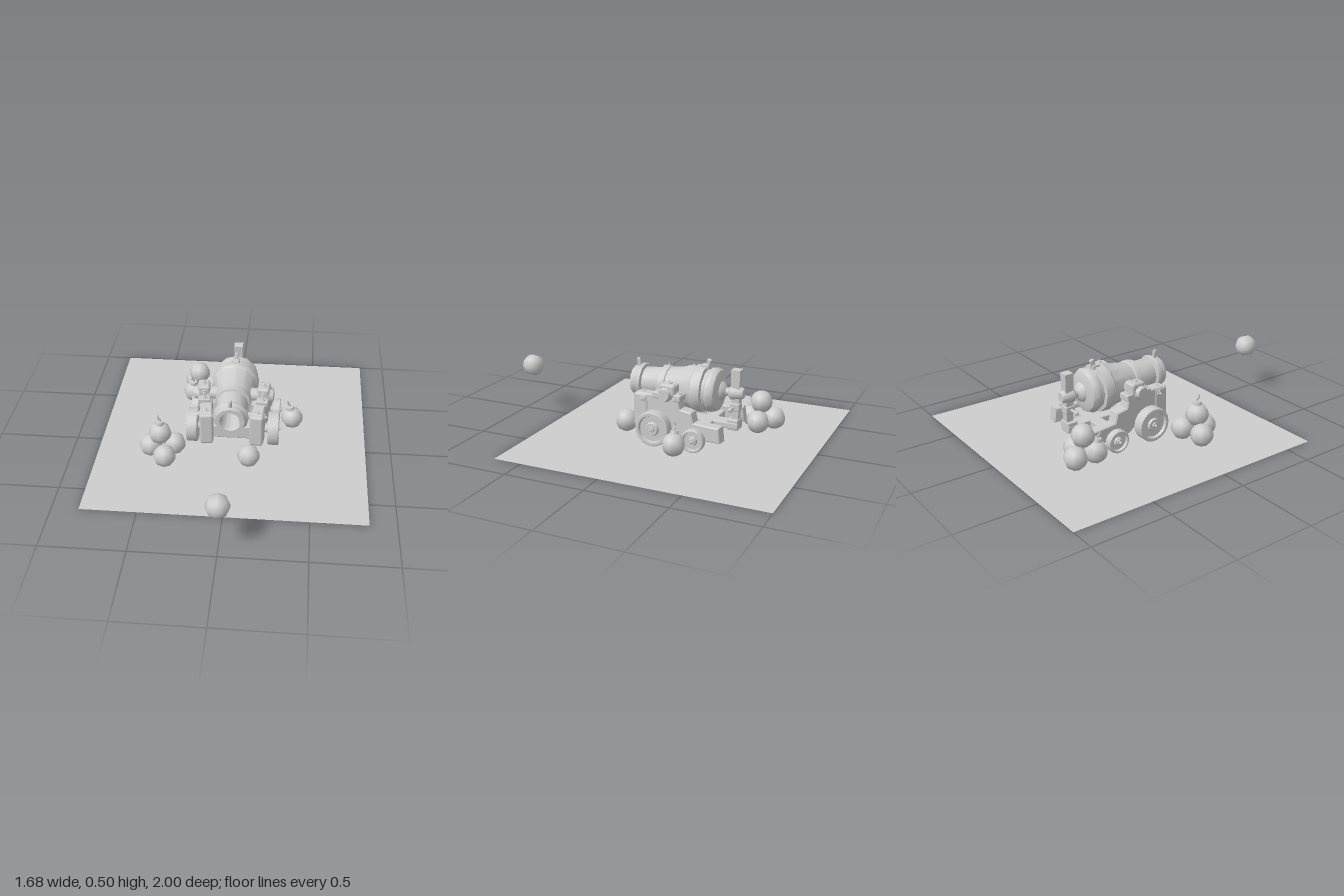
import * as THREE from 'three';
import { toCreasedNormals } from 'three/addons/utils/BufferGeometryUtils.js';
import { RoundedBoxGeometry } from 'three/addons/geometries/RoundedBoxGeometry.js';

const grey = new THREE.MeshStandardMaterial({ color: 0xcccccc, side: THREE.DoubleSide });
grey.name = 'plain grey';

function add(parent, name, geometry, x = 0, y = 0, z = 0) {
  const mesh = new THREE.Mesh(geometry, grey);
  mesh.name = name;
  mesh.position.set(x, y, z);
  parent.add(mesh);
  return mesh;
}

function group(parent, name, x = 0, y = 0, z = 0) {
  const g = new THREE.Group();
  g.name = name;
  g.position.set(x, y, z);
  parent.add(g);
  return g;
}

const block = (w, h, d, r = 0.008) => new RoundedBoxGeometry(w, h, d, 1, r);

// Lathe with sharp steps and smooth sides, points are [radius, height]
function turned(points, sides) {
  const pts = points.map(([r, h]) => new THREE.Vector2(r, h));
  return toCreasedNormals(new THREE.LatheGeometry(pts, sides), 0.6);
}

// Diamond-headed bolt on a round washer, pointing along +y
function bolt(parent, x, y, z) {
  const g = group(parent, 'bolt', x, y, z);
  add(g, 'boltWasher', new THREE.CylinderGeometry(0.017, 0.02, 0.008, 8), 0, 0.003, 0);
  add(g, 'boltHead', toCreasedNormals(new THREE.ConeGeometry(0.013, 0.02, 4), 0.3), 0, 0.014, 0);
  return g;
}

// Iron ball, optionally with a cap and a curled fuse
function ball(parent, x, y, z, fuse = false, tiltX = 0, tiltZ = 0) {
  const g = group(parent, fuse ? 'bomb' : 'cannonball', x, y, z);
  add(g, 'ball', new THREE.SphereGeometry(0.07, 8, 12));
  if (fuse) {
    add(g, 'fuseCap', new THREE.CylinderGeometry(0.024, 0.028, 0.022, 8), 0, 0.073, 0);
    const path = new THREE.CatmullRomCurve3([
      [0, 0.075, 0], [0.004, 0.095, 0], [-0.008, 0.11, 0.004], [-0.004, 0.128, 0.004],
    ].map(p => new THREE.Vector3(...p)));
    add(g, 'fuse', new THREE.TubeGeometry(path, 8, 0.006, 6));
    g.rotation.set(tiltX, 0, tiltZ);
  }
  return g;
}

function buildBarrel(root) {
  const barrel = group(root, 'barrel', 0, 0.31, 0);
  // Knob, neck, breech, bands, flared muzzle and bore in one profile
  const body = turned([
    [0, -0.54], [0.03, -0.54], [0.038, -0.525], [0.046, -0.465], [0.04, -0.455], [0.024, -0.445],
    [0.024, -0.43], [0.052, -0.415], [0.062, -0.4], [0.1, -0.395], [0.125, -0.385], [0.138, -0.36],
    [0.136, -0.335], [0.125, -0.325], [0.125, -0.31], [0.147, -0.305], [0.147, -0.245], [0.134, -0.23],
    [0.108, -0.065], [0.115, -0.06], [0.115, -0.02], [0.1, -0.015], [0.087, 0.1], [0.108, 0.105],
    [0.111, 0.125], [0.097, 0.137], [0.09, 0.175], [0.065, 0.175], [0.058, 0.16], [0.058, -0.1], [0, -0.1],
  ], 12);
  add(barrel, 'barrelBody', body.rotateX(Math.PI / 2));
  add(barrel, 'frontSight', block(0.02, 0.06, 0.026), 0, 0.112, 0.15).rotation.x = 0.15;
  add(barrel, 'ventBase', block(0.045, 0.03, 0.05), 0, 0.14, -0.295);
  add(barrel, 'ventHorn', block(0.024, 0.07, 0.03), 0, 0.155, -0.31).rotation.x = -0.3;
  add(barrel, 'trunnion', new THREE.CylinderGeometry(0.042, 0.042, 0.45, 10).rotateZ(Math.PI / 2), 0, 0.005, -0.13);
}

function buildCheek(root, s) {
  const cheek = group(root, s > 0 ? 'leftCheek' : 'rightCheek', s * 0.162, 0, 0);
  cheek.rotation.y = -s * 0.09;
  // Stepped side plank, drawn as [z, y]
  const outline = [[0.08, 0.08], [0.08, 0.27], [0.06, 0.29], [-0.2, 0.29], [-0.215, 0.225], [-0.29, 0.215],
    [-0.305, 0.155], [-0.47, 0.15], [-0.48, 0.07], [-0.2, 0.07], [-0.16, 0.1], [0, 0.1]];
  const shape = new THREE.Shape(outline.map(([z, y]) => new THREE.Vector2(z, y)));
  const plank = new THREE.ExtrudeGeometry(shape, {
    depth: 0.06, bevelEnabled: true, bevelSize: 0.006, bevelThickness: 0.006, bevelSegments: 1,
  });
  add(cheek, 'cheekPlank', plank.translate(0, 0, -0.03).rotateY(-Math.PI / 2));
  // Front post with bolts
  add(cheek, 'frontPost', block(0.086, 0.215, 0.1, 0.016), 0, 0.185, 0.047);
  bolt(cheek, 0, 0.292, 0.045);
  bolt(cheek, s * 0.043, 0.26, 0.03).rotation.z = -s * Math.PI / 2;
  // Clamp over the trunnion
  add(cheek, 'trunnionClamp', block(0.076, 0.075, 0.1, 0.016), s * 0.014, 0.34, -0.14);
  for (const z of [-0.205, -0.065]) {
    add(cheek, 'clampFoot', block(0.076, 0.04, 0.05), s * 0.014, 0.3, z);
    bolt(cheek, s * 0.014, 0.32, z);
  }
  bolt(cheek, s * 0.014, 0.377, -0.14);
  bolt(cheek, s * 0.014, 0.34, -0.09).rotation.x = Math.PI / 2;
  add(cheek, 'trunnionCap', new THREE.CylinderGeometry(0.036, 0.046, 0.03, 10).rotateZ(-s * Math.PI / 2), s * 0.062, 0.315, -0.13);
}

function buildWheel(root, s, z, r, inner) {
  const wheel = group(root, 'wheel', s * inner, r, z);
  wheel.rotation.z = -s * Math.PI / 2;
  const w = 0.292 - inner;
  add(wheel, 'wheelRim', turned([
    [0, 0], [r - 0.005, 0], [r, 0.006], [r, w - 0.006], [r - 0.005, w], [r * 0.8, w], [r * 0.75, w - 0.018],
    [r * 0.4, w - 0.018], [r * 0.34, w - 0.004], [0, w - 0.004],
  ], 18));
  bolt(wheel, 0, w - 0.003, 0);
}

function buildCarriage(root) {
  const carriage = group(root, 'carriage');
  for (const s of [-1, 1]) {
    buildCheek(carriage, s);
    buildWheel(carriage, s, -0.065, 0.107, 0.222);
    buildWheel(carriage, s, -0.325, 0.072, 0.245);
  }
  add(carriage, 'frontBeam', block(0.27, 0.09, 0.1), 0, 0.128, -0.02);
  add(carriage, 'frontAxle', new THREE.CylinderGeometry(0.03, 0.03, 0.46, 10).rotateZ(Math.PI / 2), 0, 0.107, -0.065);
  add(carriage, 'rearBeam', block(0.36, 0.06, 0.08), 0, 0.1, -0.325);
  add(carriage, 'rearAxle', new THREE.CylinderGeometry(0.024, 0.024, 0.5, 10).rotateZ(Math.PI / 2), 0, 0.072, -0.325);
  add(carriage, 'bedPlank', block(0.09, 0.04, 0.48), 0, 0.11, -0.28);
  add(carriage, 'postFoot', block(0.085, 0.07, 0.07), 0, 0.115, -0.485);
  // Elevating post, wider at the top, with a cross handle
  const post = new THREE.CylinderGeometry(0.04, 0.03, 0.31, 4, 1).rotateY(Math.PI / 4);
  add(carriage, 'elevatingPost', toCreasedNormals(post, 0.3), 0, 0.3, -0.493);
  add(carriage, 'postCollar', block(0.06, 0.05, 0.065), 0, 0.225, -0.49);
  add(carriage, 'crossHandle', new THREE.CylinderGeometry(0.009, 0.009, 0.18, 8).rotateZ(Math.PI / 2), 0, 0.225, -0.485);
  for (const s of [-1, 1]) add(carriage, 'handleKnob', new THREE.SphereGeometry(0.014, 8, 6), s * 0.085, 0.225, -0.485);
}

export function createModel() {
  const root = new THREE.Group();
  root.name = 'cannonScene';
  add(root, 'ground', new THREE.PlaneGeometry(1.68, 1.68).rotateX(-Math.PI / 2), 0, 0, -0.16);
  buildBarrel(root);
  buildCarriage(root);

  // Front pile
  ball(root, -0.5, 0.072, 0.125);
  ball(root, -0.355, 0.072, 0.095);
  ball(root, -0.4, 0.072, 0.23);
  ball(root, -0.435, 0.18, 0.14, true);
  // Rear pile
  ball(root, -0.305, 0.072, -0.64);
  ball(root, -0.19, 0.072, -0.57);
  ball(root, -0.3, 0.072, -0.5, true, 0.15, 0.05);
  ball(root, -0.27, 0.18, -0.565);
  // Loose balls and the one in flight
  ball(root, 0.37, 0.072, -0.245, true, 0, 0.2);
  ball(root, 0.115, 0.072, 0.185);
  ball(root, 0, 0.305, 0.93).rotation.x = Math.PI / 2;
  return root;
}
